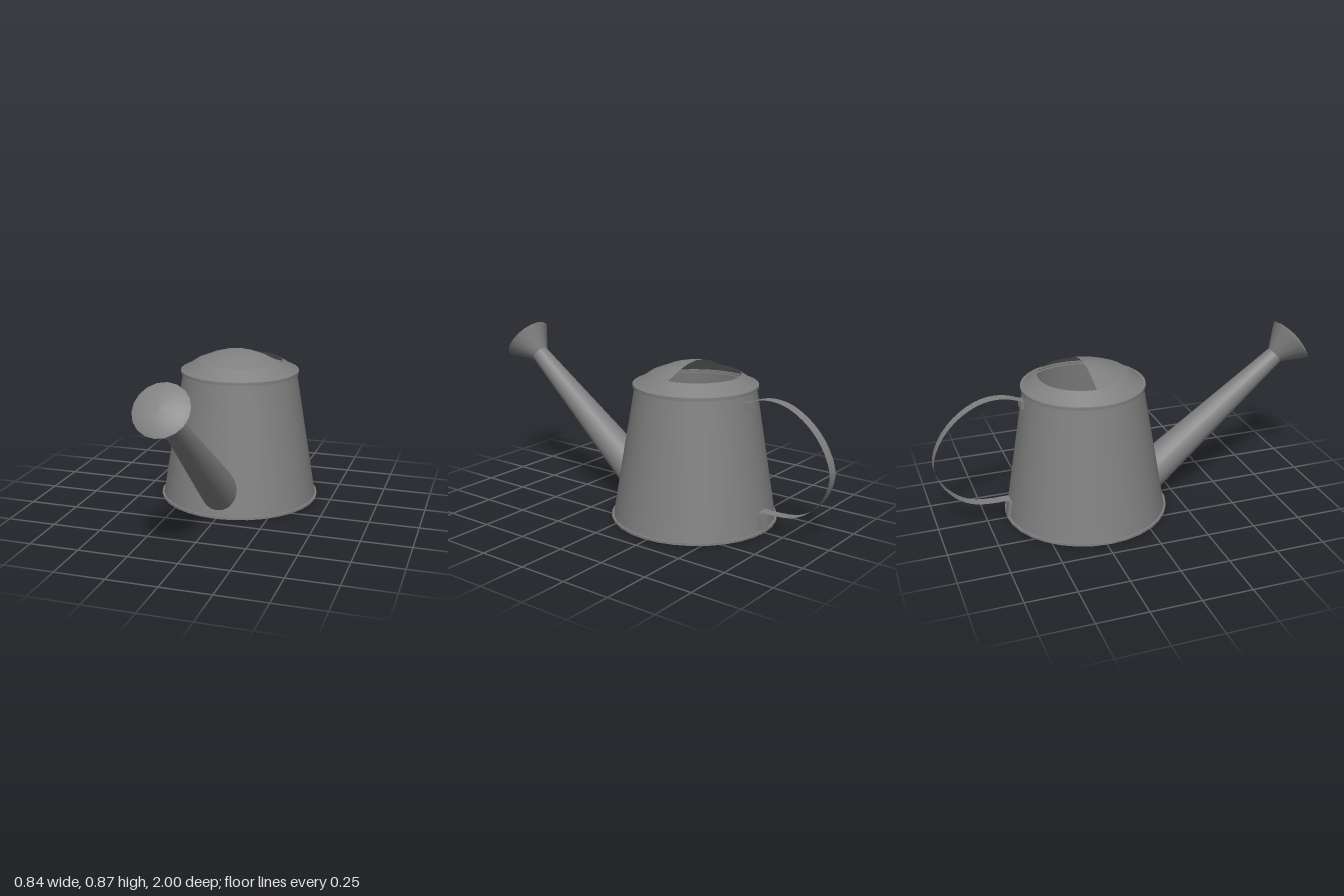
import * as THREE from 'three';

const CZ = -0.23;            // z of the can's axis
const BODY_H = 0.68, R_BASE = 0.41, R_TOP = 0.3;
const wallRadius = y => R_BASE + (R_TOP - R_BASE) * y / BODY_H;

export function createModel() {
  const metal = new THREE.MeshStandardMaterial({ color: 0x808080, side: THREE.DoubleSide });
  metal.name = 'grey metal';
  const model = new THREE.Group();
  model.name = 'wateringCan';

  const add = (name, geometry, x = 0, y = 0, z = 0) => {
    const mesh = new THREE.Mesh(geometry, metal);
    mesh.name = name;
    mesh.position.set(x, y, z);
    model.add(mesh);
    return mesh;
  };
  const lathe = (points, segments = 32, start = 0, length = Math.PI * 2) =>
    new THREE.LatheGeometry(points.map(p => new THREE.Vector2(...p)), segments, start, length);

  // Tapered hollow body with its floor and two thin rims
  add('body', lathe([[R_BASE, 0.01], [R_TOP, BODY_H]]), 0, 0, CZ);
  add('floor', new THREE.CircleGeometry(0.418, 32).rotateX(Math.PI / 2), 0, 0.002, CZ);
  const rim = (name, inner, outer, y0, y1) =>
    ['Lower', 'Outer', 'Upper'].forEach((side, i) => {
      const corners = [[inner, y0], [outer, y0], [outer, y1], [inner, y1]];
      add(name + side, lathe([corners[i], corners[i + 1]]), 0, 0, CZ);
    });
  rim('baseRim', 0.4, 0.42, 0, 0.012);
  rim('topRim', 0.29, 0.311, 0.672, 0.687);

  // Lid: a full sloping ring, and a dome over the front half only
  add('lidRing', lathe([[0.3, 0.687], [0.225, 0.738]]), 0, 0, CZ);
  add('lidDome', lathe([[0.225, 0.738], [0.125, 0.778], [0.06, 0.794], [0, 0.8]],
    16, -Math.PI / 2, Math.PI), 0, 0, CZ);

  // Spout: a tapered tube whose lower end is slid along its axis onto the wall
  const foot = new THREE.Vector3(0, 0.155, 0.16), tip = new THREE.Vector3(0, 0.7, 0.83);
  const axis = tip.clone().sub(foot);
  const length = axis.length();
  axis.normalize();
  const tilt = Math.atan2(axis.z, axis.y);
  const spout = new THREE.CylinderGeometry(0.046, 0.097, length, 20, 1, true);
  spout.translate(0, length / 2, 0).rotateX(tilt).translate(foot.x, foot.y, foot.z);
  const pos = spout.attributes.position, v = new THREE.Vector3();
  for (let i = pos.count / 2; i < pos.count; i++) {
    v.fromBufferAttribute(pos, i);
    for (let k = 0; k < 8; k++) {
      v.addScaledVector(axis, wallRadius(v.y) - Math.hypot(v.x, v.z - CZ));
    }
    pos.setXYZ(i, v.x, v.y, v.z);
  }
  add('spout', spout);

  // Sprinkler head: flared cone closed by a gently bulging face
  add('roseCone', lathe([[0.047, -0.004], [0.13, 0.114]], 18).rotateX(tilt), tip.x, tip.y, tip.z);
  add('roseFace', lathe([[0.13, 0.114], [0.1, 0.128], [0.055, 0.139], [0, 0.143]], 18).rotateX(tilt),
    tip.x, tip.y, tip.z);

  // Handle: a flat ribbon bent along a curve in the yz plane
  const path = new THREE.CatmullRomCurve3([
    [0.635, -0.535], [0.66, -0.6], [0.67, -0.67], [0.655, -0.76], [0.59, -0.87], [0.49, -0.955],
    [0.37, -0.998], [0.26, -0.972], [0.17, -0.9], [0.125, -0.82], [0.112, -0.73], [0.112, -0.63],
  ].map(([y, z]) => new THREE.Vector3(0, y, z)));
  const steps = 32;
  const ribbon = new THREE.PlaneGeometry(0.056, 1, 1, steps);
  const rp = ribbon.attributes.position;
  for (let i = 0; i < rp.count; i++) {
    const p = path.getPoint(Math.floor(i / 2) / steps);
    rp.setXYZ(i, rp.getX(i), p.y, p.z);
  }
  ribbon.computeVertexNormals();
  add('handle', ribbon);

  // Brackets holding the handle to the wall
  const lean = Math.atan2(R_BASE - R_TOP, BODY_H);
  for (const [name, y, h] of [['upperBracket', 0.622, 0.04], ['lowerBracket', 0.058, 0.085]]) {
    add(name, new THREE.BoxGeometry(0.056, h, 0.016), 0, y, CZ - wallRadius(y) - 0.007)
      .rotation.x = lean;
  }
  return model;
}
